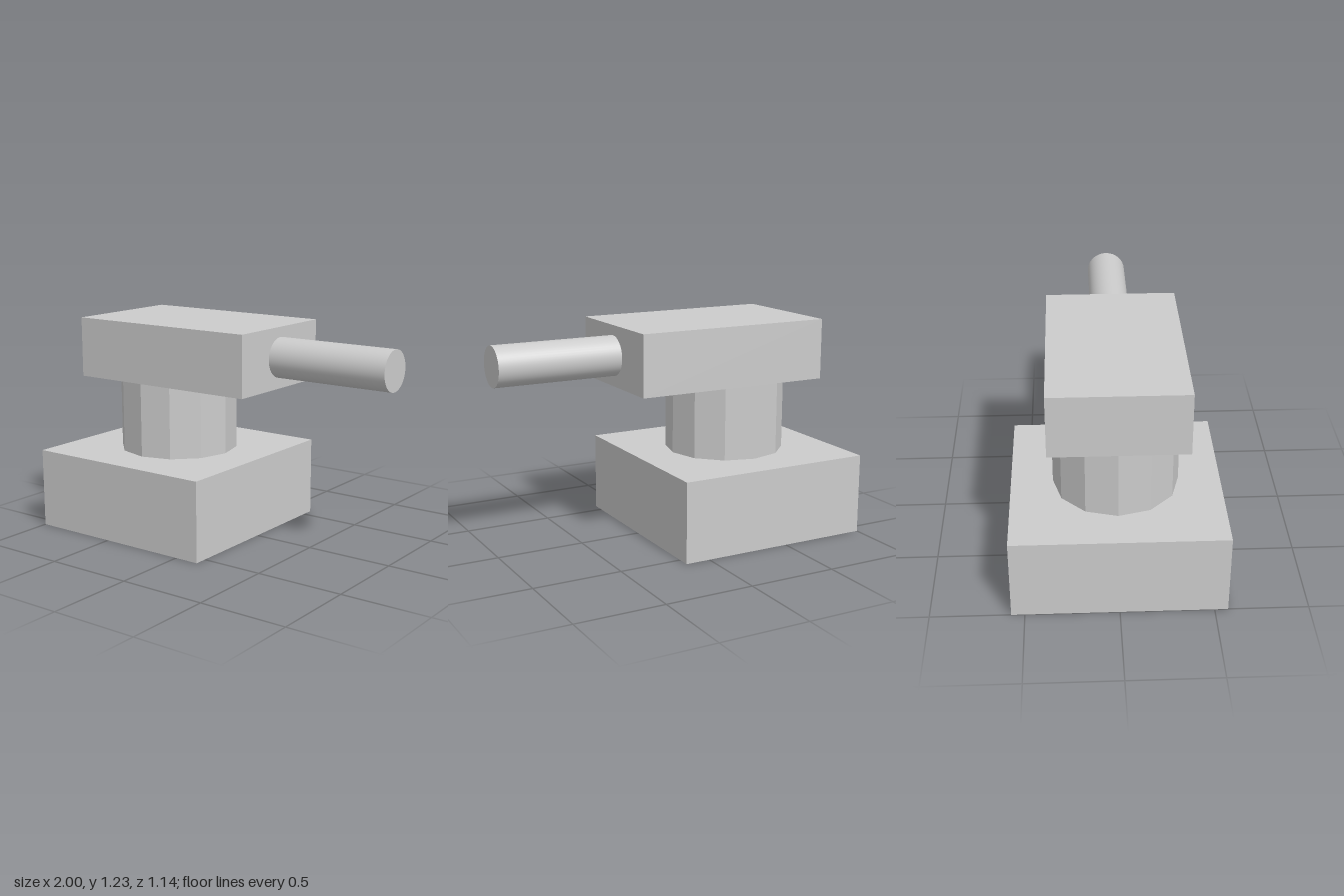
import * as THREE from 'three';

export function createModel() {
  const model = new THREE.Group();
  const smooth = new THREE.MeshStandardMaterial({ color: 0xcccccc });
  const faceted = new THREE.MeshStandardMaterial({ color: 0xcccccc, flatShading: true });

  const add = (name, geometry, material, x, y) => {
    const mesh = new THREE.Mesh(geometry, material);
    mesh.name = name;
    mesh.position.set(x, y, 0);
    model.add(mesh);
    return mesh;
  };

  // Heavy square base
  add('base', new THREE.BoxGeometry(1.143, 0.457, 1.143), faceted, -0.429, 0.2285);

  // Twelve-sided swivel column
  add('column', new THREE.CylinderGeometry(0.343, 0.343, 0.429, 12), faceted, -0.429, 0.6715);

  // Turret head, shifted forward along the barrel
  add('head', new THREE.BoxGeometry(1.143, 0.343, 0.726), faceted, -0.28, 1.0575);

  // Round barrel, pointing along +x from the head
  const barrel = add('barrel', new THREE.CylinderGeometry(0.113, 0.113, 0.71, 48), smooth, 0.645, 1.0595);
  barrel.rotation.z = -Math.PI / 2;

  return model;
}
